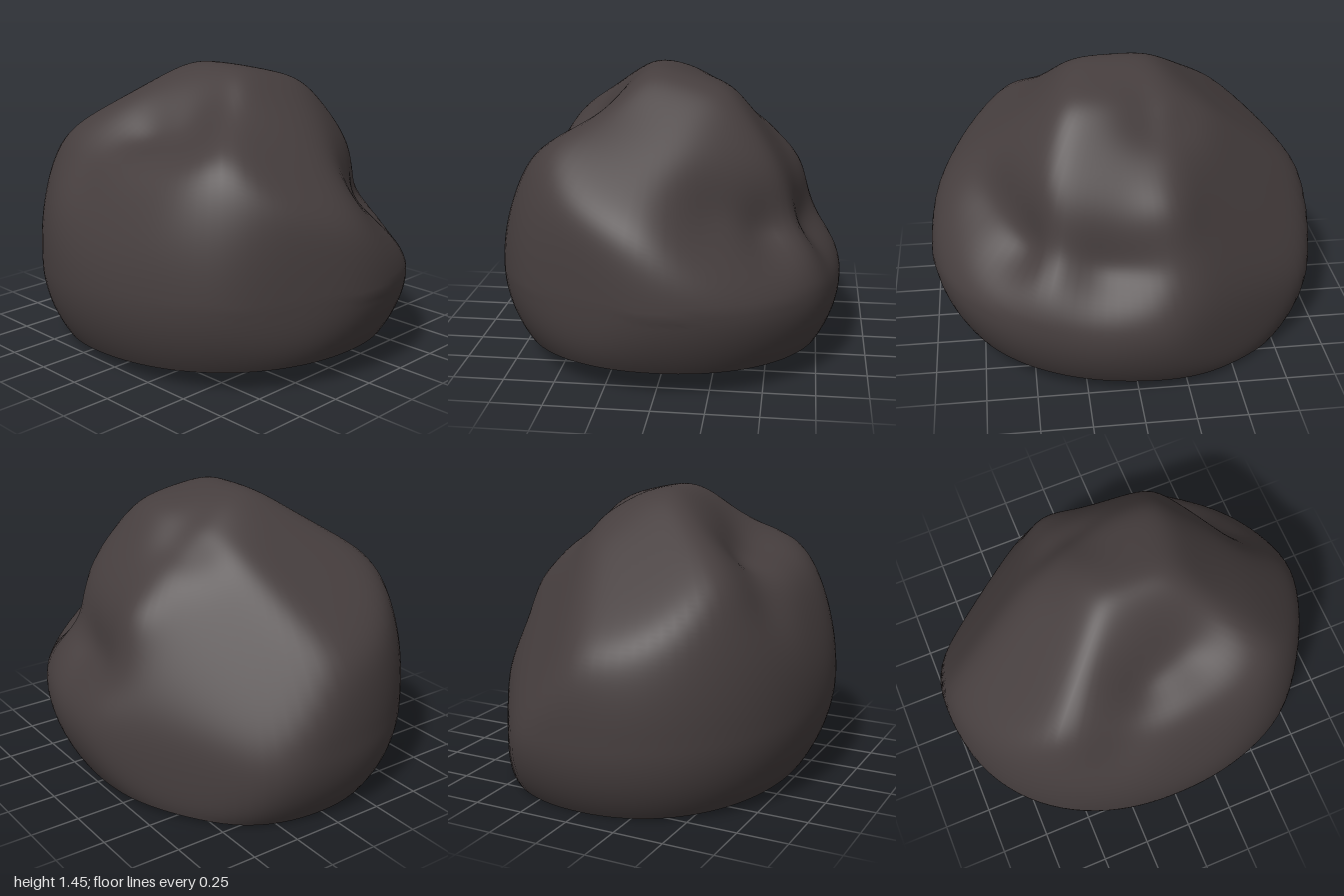
import * as THREE from 'three';
import { mergeVertices } from 'three/addons/utils/BufferGeometryUtils.js';

// Chisel cuts: unit-ish normal (x, y, z) and distance from the core
const CUTS = [
  [0.25, 1, 0, 1.0],              // summit, falling towards +x
  [0, 0.778, -0.629, 0.885],      // long back slope
  [-0.57, 0.82, 0, 0.9],          // slope to the left-hand shoulder
  [-0.91, 0.41, 0, 0.88],         // shoulder wall
  [0, 0.74, 0.673, 0.915],        // front slope
  [-0.45, 0, 0.89, 0.955],        // front corner facet
  [0.45, 0.55, 0.7, 0.86],        // facet above the shelf
  [0.81, 0.585, 0, 0.79],         // upper side slope
  [0.927, 0.374, 0, 0.86],        // side wall
  [0.773, 0.334, -0.538, 0.785],  // leaning back corner facet
  [0.62, 0.48, -0.62, 0.76],      // upper back corner facet
  [0.82, 0, -0.57, 0.83],         // upright back corner facet
];

// Hollows (positive) and lumps (negative): x, y, z, depth, radius
const DENTS = [
  [0.77, 0.68, 0.22, 0.12, 0.23],   // hollow above the side shelf
  [0.58, 0.74, 0.58, 0.15, 0.24],
  [0.27, 0.88, 0.73, 0.06, 0.2],
  [0.74, 0.66, -0.06, 0.06, 0.18],
  [0.62, 0.94, -0.16, -0.02, 0.14], // knob over the shelf
  [0.26, 1.25, -0.15, 0.09, 0.18],  // dip behind the horn
  [-0.48, 1.12, -0.08, 0.09, 0.19], // valley below the ridge
  [-0.38, 1.16, 0.2, 0.11, 0.24],
  [-0.64, 0.98, -0.3, 0.05, 0.2],
];

const CORE = 0.45, TILT = 0.074, BASE = -0.38, SHARP = 28, PLAN = 2.15, SIDES = 96;

// Surface point along an azimuth and polar angle seen from the core
function surface(phi, theta) {
  const d = new THREE.Vector3(Math.cos(phi) * Math.sin(theta), Math.cos(theta), Math.sin(phi) * Math.sin(theta));
  const h = d.y - TILT * d.z;
  // rounded body, blended with every cut by a soft minimum
  const plan = (Math.abs(d.x / 0.88) ** PLAN + Math.abs(d.z / 1.002) ** PLAN) ** (1 / PLAN);
  const body = 1 / Math.hypot(plan, d.y > 0 ? d.y / 1.2 : Math.min(h, 0) / 0.78);
  let sum = body ** -SHARP;
  for (const [x, y, z, dist] of CUTS) {
    const k = (x * d.x + y * d.y + z * d.z) / dist;
    if (k > 0) sum += k ** SHARP;
  }
  const p = d.clone().multiplyScalar(sum ** (-1 / SHARP));
  let push = 0;
  for (const [x, y, z, depth, w] of DENTS) {
    const q = (p.x - x) ** 2 + (p.y + CORE - y) ** 2 + (p.z - z) ** 2;
    push += depth * Math.exp(-q / (w * w));
  }
  p.addScaledVector(d, -push);
  p.y += CORE;
  return p;
}

// Polar angle at which the body meets the tilted base
function rimAngle(phi) {
  let lo = Math.PI / 2, hi = Math.PI * 0.95;
  for (let i = 0; i < 24; i++) {
    const mid = (lo + hi) / 2, p = surface(phi, mid);
    if (p.y - TILT * p.z > CORE + BASE) lo = mid; else hi = mid;
  }
  return lo;
}

export function createModel() {
  const group = new THREE.Group();
  group.name = 'boulder';
  const material = new THREE.MeshStandardMaterial({ color: 0x463e3e });

  // Boulder body: an open sphere reshaped down to the rim
  let body = new THREE.SphereGeometry(1, SIDES, 72, 0, Math.PI * 2, 0, 2.5);
  const pos = body.attributes.position, uv = body.attributes.uv;
  for (let i = 0; i < pos.count; i++) {
    const phi = Math.PI - uv.getX(i) * Math.PI * 2;
    const p = surface(phi, (1 - uv.getY(i)) * rimAngle(phi));
    pos.setXYZ(i, p.x, p.y, p.z);
  }
  body.deleteAttribute('uv');
  body.deleteAttribute('normal');
  body = mergeVertices(body, 1e-5);

  // Flat underside sharing the same rim
  const base = new THREE.CircleGeometry(1, SIDES);
  const rim = base.attributes.position;
  rim.setXYZ(0, 0, CORE + BASE, 0);
  for (let i = 1; i < rim.count; i++) {
    const phi = ((i - 1) / SIDES) * Math.PI * 2;
    const p = surface(phi, rimAngle(phi));
    rim.setXYZ(i, p.x, p.y, p.z);
  }

  for (const [name, geometry] of [['boulderBody', body], ['underside', base]]) {
    geometry.computeVertexNormals();
    const mesh = new THREE.Mesh(geometry, material);
    mesh.name = name;
    group.add(mesh);
  }
  return group;
}
